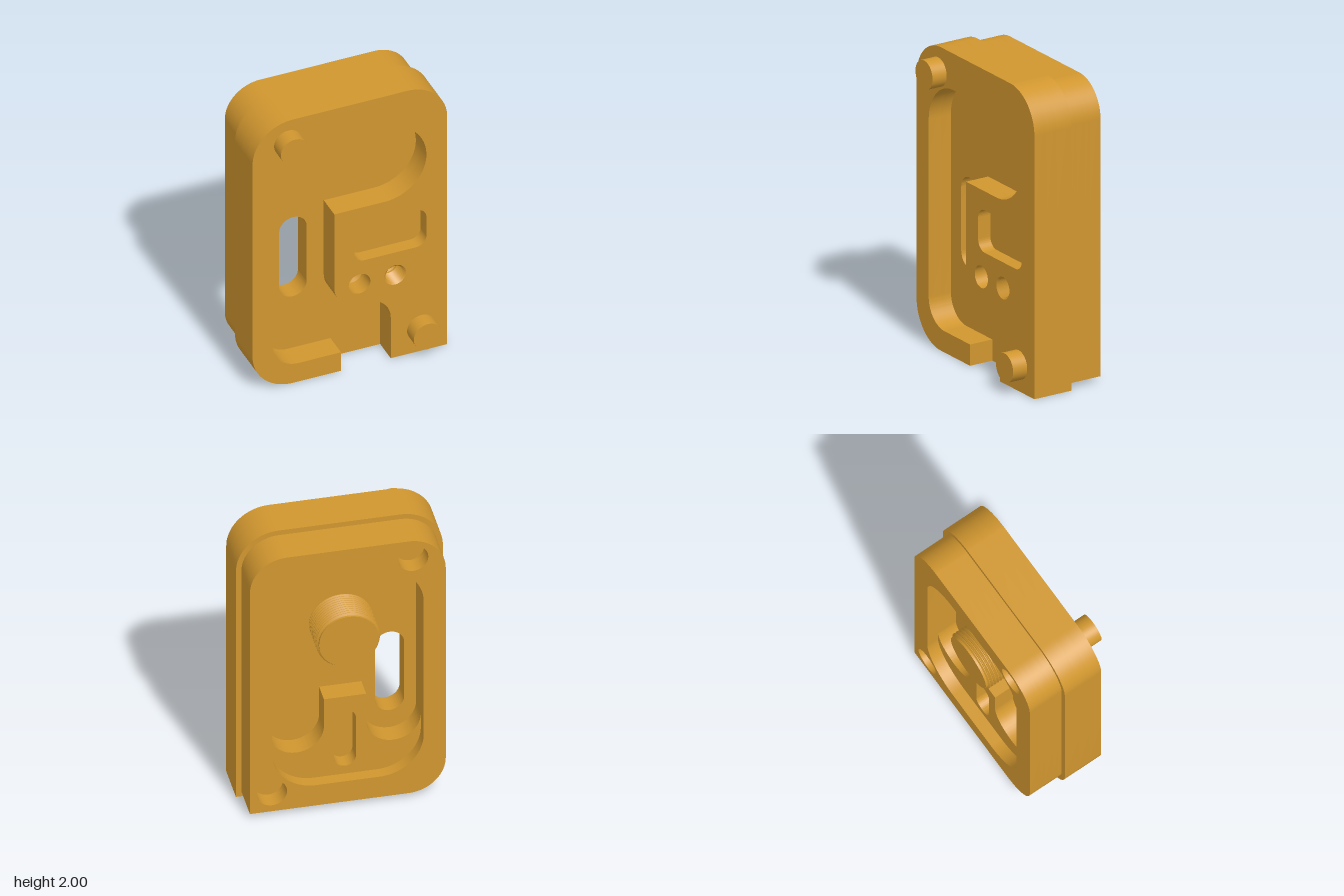
import * as THREE from 'three';
import { toCreasedNormals } from 'three/addons/utils/BufferGeometryUtils.js';

const V = (x, y) => new THREE.Vector2(x, y);

// Closed path through right-angled corners [x, y, radius]
function rounded(points, Type = THREE.Path) {
  const path = new Type();
  points.forEach(([x, y, r = 0], i) => {
    const n = points.length;
    const p = V(x, y);
    const dIn = V(...points[(i + n - 1) % n].slice(0, 2)).sub(p).normalize();
    const dOut = V(...points[(i + 1) % n].slice(0, 2)).sub(p).normalize();
    const a = p.clone().addScaledVector(dIn, r);
    if (i === 0) path.moveTo(a.x, a.y);
    else path.lineTo(a.x, a.y);
    if (r > 0) {
      const c = a.clone().addScaledVector(dOut, r);
      const b = p.clone().addScaledVector(dOut, r);
      const clockwise = dIn.cross(dOut) > 0;
      path.absarc(c.x, c.y, r, Math.atan2(a.y - c.y, a.x - c.x), Math.atan2(b.y - c.y, b.x - c.x), clockwise);
    }
  });
  path.closePath();
  return path;
}

const box = (x0, x1, y0, y1, r) => rounded([[x0, y0, r], [x1, y0, r], [x1, y1, r], [x0, y1, r]]);

function circle(x, y, r) {
  const p = new THREE.Path();
  p.absarc(x, y, r, 0, Math.PI * 2, false);
  return p;
}

export function createModel() {
  const group = new THREE.Group();
  group.name = 'mouldedHousing';
  const ochre = new THREE.MeshStandardMaterial({ color: 0xd0962f });
  ochre.name = 'ochre';

  const add = (name, geometry) => {
    const mesh = new THREE.Mesh(toCreasedNormals(geometry, 0.5), ochre);
    mesh.name = name;
    group.add(mesh);
    return mesh;
  };

  // Outlines: three rounded corners, one square corner
  const W = 0.655, R = 0.27, IN = 0.035;
  const fullOutline = [[W, 0], [W, 2, R], [-W, 2, R], [-W, 0, R]];
  const backOutline = [[W - IN, IN], [W - IN, 2 - IN, R - IN], [-W + IN, 2 - IN, R - IN], [-W + IN, IN, R - IN]];
  // Front pocket runs out through the bottom edge
  const pocketedOutline = [
    ...fullOutline,
    [-0.06, 0], [-0.06, 0.14], [-0.52, 0.14, 0.175], [-0.52, 1.76, 0.28],
    [0.515, 1.76, 0.28], [0.515, 1.2, 0.28], [-0.105, 1.2],
    [-0.105, 0.475, 0.165], [0.275, 0.475, 0.165], [0.275, 0],
  ];

  // Depths along z, front to back
  const FRONT = 0.22, FLOOR = 0.055, STEP = -0.055, BACKFLOOR = -0.08, SHELF = -0.215, BACK = -0.295;
  const pegs = [[-0.415, 1.83], [0.48, 0.175]];
  const screws = [[0.065, 0.625], [0.305, 0.625]];

  // Openings cut between two depths
  const P = 0.48, T = 0.134, S = 0.173;
  const cuts = [
    [box(0.03, 0.515, 0.795, 1.075, 0.07), 0.13, FRONT],
    ...screws.map(([x, y]) => [circle(x, y, 0.073), FLOOR, FRONT]),
    [box(-0.405, -0.22, 0.53, 1.13, 0.0925), BACKFLOOR, FLOOR],
    [rounded([
      [P, 1.77, 0.28], [-P, 1.77, 0.28], [-P, 0.4, S], [-T, 0.4, S],
      [-T, 0.78], [T, 0.78], [T, 0.4, S], [P, 0.4, S],
    ]), SHELF, BACKFLOOR],
    [box(-0.069, 0.069, 0.25, 0.675, 0.069), SHELF, -0.115],
    [box(-P, P, 0.19, 1.77, 0.28), BACK, SHELF],
    ...pegs.map(([x, y]) => [circle(x, y, 0.095), BACK, -0.18]),
  ];

  // Body sliced at every depth where an opening starts or ends
  const levels = [...new Set([FRONT, STEP, BACK, ...cuts.flatMap((c) => [c[1], c[2]])])].sort((a, b) => a - b);
  for (let i = 0; i < levels.length - 1; i++) {
    const [z0, z1] = [levels[i], levels[i + 1]];
    const mid = (z0 + z1) / 2;
    const outline = mid > FLOOR ? pocketedOutline : mid > STEP ? fullOutline : backOutline;
    const shape = rounded(outline, THREE.Shape);
    shape.holes = cuts.filter((c) => mid > c[1] && mid < c[2]).map((c) => c[0]);
    const slab = new THREE.ExtrudeGeometry(shape, { depth: z1 - z0, bevelEnabled: false, curveSegments: 16 });
    slab.translate(0, 0, z0);
    add(mid > STEP ? 'frontBody' : 'backBody', slab);
  }

  // Locating pegs
  for (const [x, y] of pegs) {
    const peg = new THREE.CylinderGeometry(0.095, 0.095, 0.11, 48).rotateX(Math.PI / 2);
    add('locatingPeg', peg.translate(x, y, FRONT + 0.05));
  }

  // Threaded stud rising from the back pocket
  const stud = [V(0.188, 0)];
  for (let i = 0; i < 10; i++) {
    const y = 0.01 + i * 0.022;
    stud.push(V(0.188, y), V(0.202, y + 0.008), V(0.202, y + 0.012), V(0.188, y + 0.02));
  }
  stud.push(V(0.188, 0.243), V(0, 0.243));
  add('threadedStud', new THREE.LatheGeometry(stud, 64).rotateX(-Math.PI / 2).translate(0, 1.28, BACKFLOOR));

  // Drill-point bottoms of the two screw holes, the second one threaded
  screws.forEach(([x, y], k) => {
    const profile = [V(0, 0.163), V(k ? 0.06 : 0.073, 0.125)];
    if (k) for (let i = 5; i >= 0; i--) profile.push(V(0.06, i * 0.02 + 0.012), V(0.073, i * 0.02));
    add(k ? 'threadedHole' : 'plainHole', new THREE.LatheGeometry(profile, 40).rotateX(-Math.PI / 2).translate(x, y, FRONT));
  });

  return group;
}
